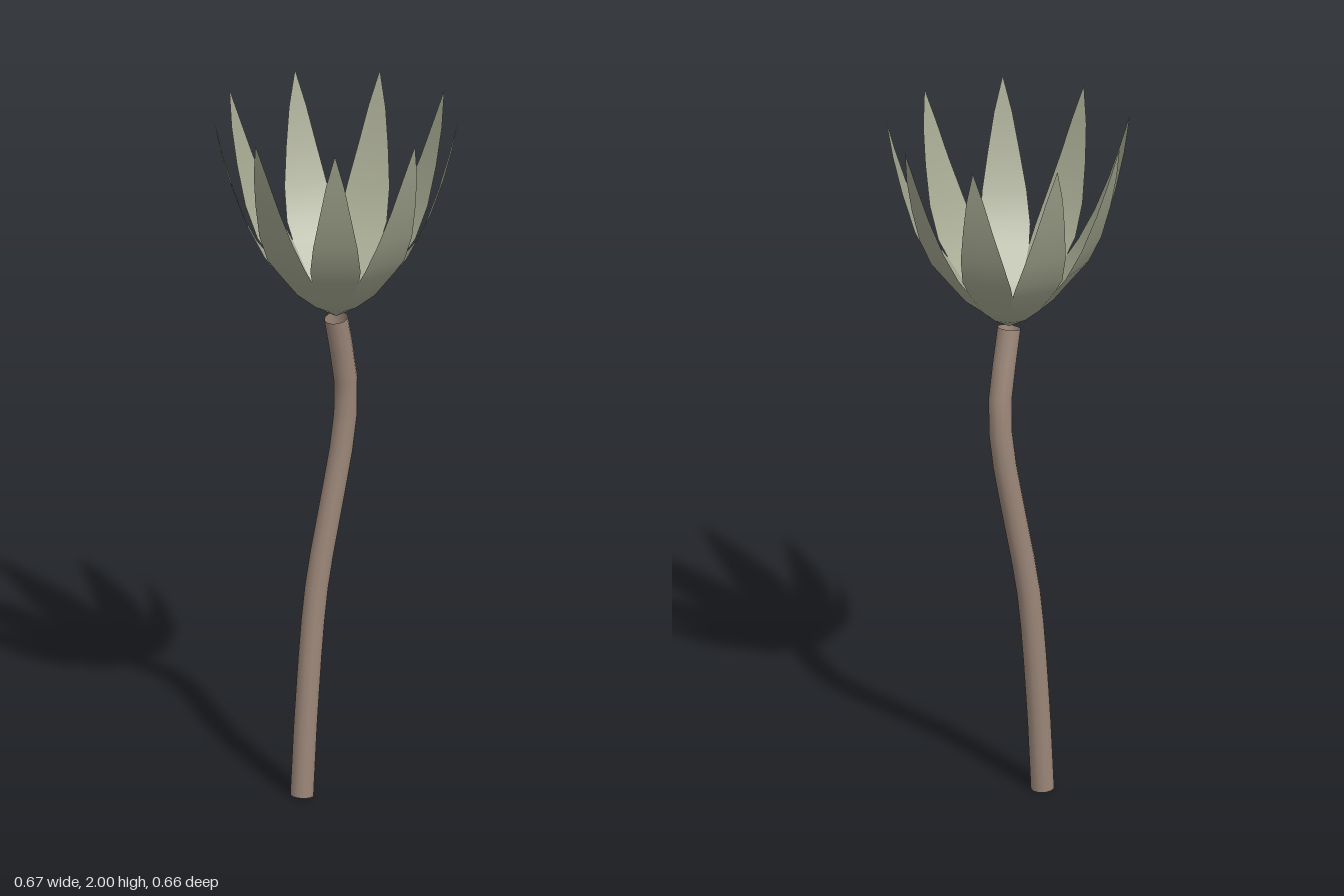
import * as THREE from 'three';

const petalGreen = new THREE.MeshStandardMaterial({ color: 0xa4a790, side: THREE.DoubleSide });
petalGreen.name = 'petalGreen';
const stemBrown = new THREE.MeshStandardMaterial({ color: 0x9c8779, side: THREE.DoubleSide });
stemBrown.name = 'stemBrown';

// Petal cross-sections from base to tip: [distance out, height, half width]
const sections = [
  [0, 0, 0], [0.06, 0.037, 0.022], [0.115, 0.085, 0.042], [0.175, 0.165, 0.064],
  [0.21, 0.21, 0.069], [0.253, 0.295, 0.061], [0.29, 0.4, 0.043],
  [0.318, 0.5, 0.025], [0.34, 0.6, 0],
];

// A sheet curved along its length and flat across its width
function petalGeometry() {
  const positions = [], indices = [];
  sections.forEach(([out, up, half], i) => {
    positions.push(-half, up, out, half, up, out);
    if (i === 0) return;
    const a = 2 * (i - 1);
    if (i > 1) indices.push(a, a + 1, a + 2);
    if (i === 1) indices.push(a, a + 3, a + 2);
    else if (i < sections.length - 1) indices.push(a + 1, a + 3, a + 2);
  });
  const geometry = new THREE.BufferGeometry();
  geometry.setAttribute('position', new THREE.Float32BufferAttribute(positions, 3));
  geometry.setIndex(indices);
  // Smooth normals follow the slope of the profile
  const normals = [];
  sections.forEach((s, i) => {
    const p = sections[Math.max(i - 1, 0)], n = sections[Math.min(i + 1, sections.length - 1)];
    const v = new THREE.Vector3(0, n[0] - p[0], p[1] - n[1]).normalize();
    normals.push(v.x, v.y, v.z, v.x, v.y, v.z);
  });
  geometry.setAttribute('normal', new THREE.Float32BufferAttribute(normals, 3));
  // Wind the faces to agree with the upward, inward normals
  const flipped = [];
  for (let i = 0; i < indices.length; i += 3) flipped.push(indices[i], indices[i + 2], indices[i + 1]);
  const [A, B, C] = [0, 1, 2].map(k => new THREE.Vector3().fromArray(positions, indices[6 + k] * 3));
  const face = B.sub(A).cross(C.sub(A));
  if (face.y < 0) geometry.setIndex(flipped);
  return geometry;
}

export function createModel() {
  const model = new THREE.Group();
  model.name = 'flower';

  // Gently bent stem
  const path = new THREE.CatmullRomCurve3([
    [-0.088, 0.004, -0.05], [-0.07, 0.27, -0.051], [-0.037, 0.6, -0.05], [0.002, 0.82, -0.04],
    [0.038, 1.02, -0.03], [0.046, 1.17, -0.022], [0, 1.395, -0.01],
  ].map(p => new THREE.Vector3(...p)));
  const stem = new THREE.Mesh(new THREE.TubeGeometry(path, 14, 0.033, 12), stemBrown);
  stem.name = 'stem';
  model.add(stem);

  // Ring of nine petals, one facing the front
  const bloom = new THREE.Group();
  bloom.name = 'bloom';
  bloom.position.set(0, 1.4, -0.01);
  const geometry = petalGeometry();
  for (let i = 0; i < 9; i++) {
    const petal = new THREE.Mesh(geometry, petalGreen);
    petal.name = 'petal' + (i + 1);
    petal.rotation.y = (i / 9) * Math.PI * 2;
    bloom.add(petal);
  }
  model.add(bloom);
  return model;
}
